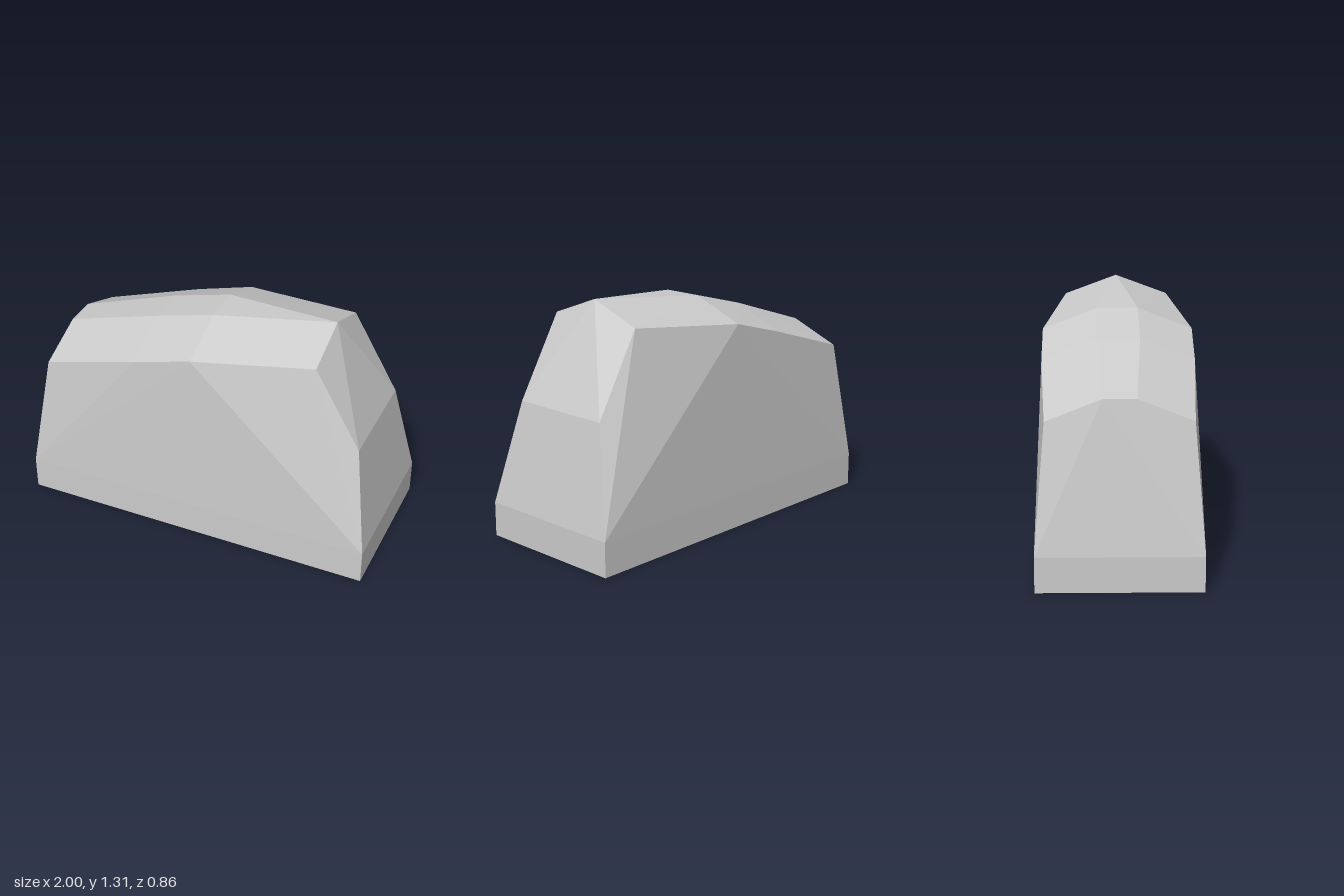
import * as THREE from 'three';
import { ConvexGeometry } from 'three/addons/geometries/ConvexGeometry.js';

export function createModel() {
  const group = new THREE.Group();
  const material = new THREE.MeshStandardMaterial({ color: 0xcccccc, flatShading: true });

  // Corners of the front half as [x, y, z]
  const half = [
    // plinth
    [-1, 0, 0.43], [1, 0, 0.43], [-1, 0.19, 0.43], [1, 0.19, 0.43],
    // upper edge of the sides
    [-0.89, 0.865, 0.375], [-0.34, 1.04, 0.405], [-0.01, 1.135, 0.408], [0.645, 1.2, 0.295],
    // crown strip, narrowing to a point
    [-0.89, 0.98, 0.087], [-0.34, 1.16, 0.115], [-0.01, 1.25, 0.112], [0.645, 1.31, 0],
    // break in the sloping end
    [0.9, 0.762, 0.297],
  ];

  // Mirror front to back and wrap the faceted block around all corners
  const points = [];
  for (const [x, y, z] of half) {
    points.push(new THREE.Vector3(x, y, z));
    if (z > 0) points.push(new THREE.Vector3(x, y, -z));
  }
  const block = new THREE.Mesh(new ConvexGeometry(points), material);
  block.name = 'facetedBlock';
  group.add(block);
  return group;
}
